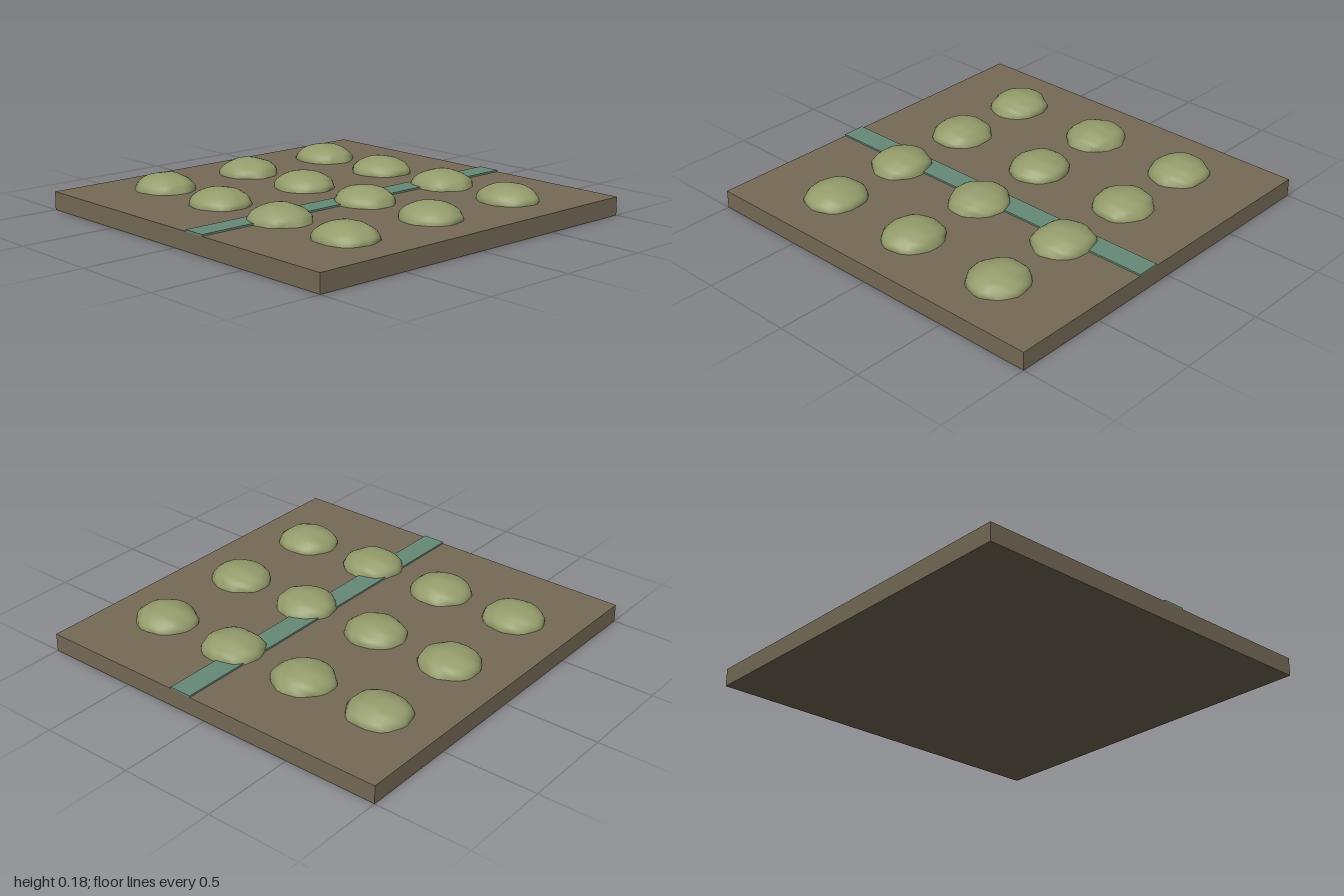
import * as THREE from 'three';

const material = (name, color) => {
  const m = new THREE.MeshStandardMaterial({ color });
  m.name = name;
  return m;
};

// Lumpy flattened dome, its base at y = 0
function moundGeometry(seed) {
  const geo = new THREE.SphereGeometry(1, 28, 12, 0, Math.PI * 2, 0, Math.PI / 2);
  const pos = geo.attributes.position;
  const nor = geo.attributes.normal;
  const v = new THREE.Vector3();
  for (let i = 0; i < pos.count; i++) {
    v.fromBufferAttribute(pos, i);
    const lump = 0.025 * Math.sin(5 * v.x + seed * 1.7) * Math.cos(4 * v.z + seed)
      + 0.018 * Math.sin(9 * v.z + 4 * v.y + seed * 2.3)
      + 0.014 * Math.sin(11 * v.x - 7 * v.y + seed * 3.1);
    const r = 1 + lump;
    pos.setXYZ(i, v.x * r * 0.161, Math.max(0, v.y * (1 + lump * 0.5) * 0.083), v.z * r * 0.15);
  }
  geo.computeVertexNormals();
  // Blend the normals across the seam
  const row = 29;
  const a = new THREE.Vector3(), b = new THREE.Vector3();
  for (let j = 1; j <= 12; j++) {
    const s = j * row, e = s + row - 1;
    a.fromBufferAttribute(nor, s).add(b.fromBufferAttribute(nor, e)).normalize();
    nor.setXYZ(s, a.x, a.y, a.z);
    nor.setXYZ(e, a.x, a.y, a.z);
  }
  return geo;
}

export function createModel() {
  const group = new THREE.Group();
  const soil = material('soil brown', 0x756a56);
  const water = material('water teal', 0x668977);
  const foliage = material('foliage green', 0x949c6b);
  const baseTop = 0.095;

  const add = (name, geo, mat, x, y, z) => {
    const mesh = new THREE.Mesh(geo, mat);
    mesh.name = name;
    mesh.position.set(x, y, z);
    group.add(mesh);
  };

  // Ground slab and the thin channel running front to back
  add('groundSlab', new THREE.BoxGeometry(2, baseTop, 2), soil, 0, baseTop / 2, 0);
  add('channel', new THREE.BoxGeometry(0.122, 0.009, 2), water, 0.147, baseTop + 0.0045, 0);

  // Grid of mounds, four across and three deep
  let seed = 1;
  for (const z of [-0.55, 0, 0.55]) {
    for (const x of [-0.673, -0.224, 0.224, 0.673]) {
      add('mound', moundGeometry(seed++), foliage, x, baseTop, z);
    }
  }
  return group;
}
